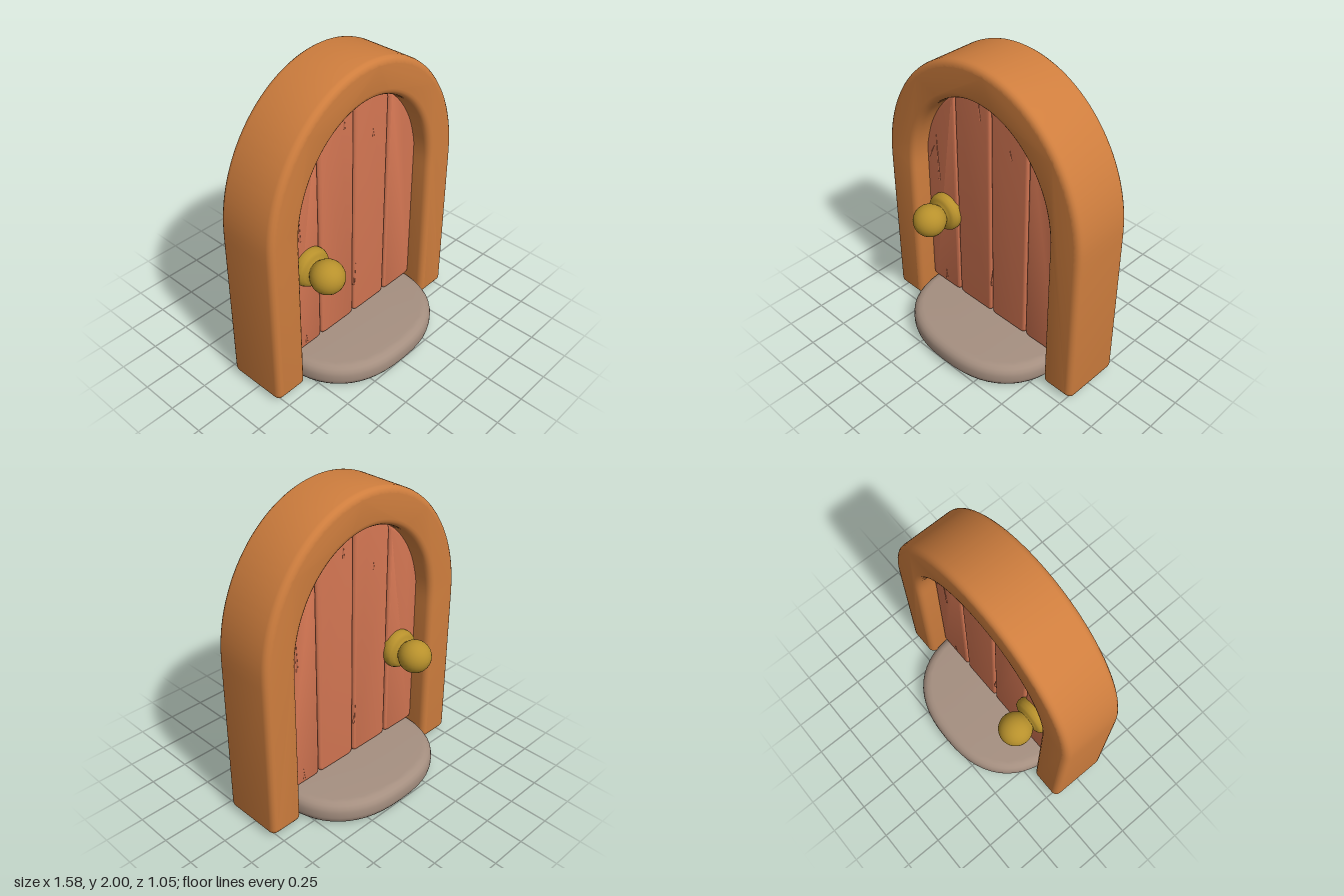
import * as THREE from 'three';
import { toCreasedNormals } from 'three/addons/utils/BufferGeometryUtils.js';

const material = (name, color) => new THREE.MeshStandardMaterial({ name, color });

// Closed shape through points, with every corner softened by up to r
function roundedShape(points, r) {
  const shape = new THREE.Shape();
  const n = points.length;
  points.forEach((p, i) => {
    const towards = (q) => p.clone().lerp(q, Math.min(r / p.distanceTo(q), 0.45));
    const a = towards(points[(i + n - 1) % n]);
    const b = towards(points[(i + 1) % n]);
    if (i === 0) shape.moveTo(a.x, a.y);
    else shape.lineTo(a.x, a.y);
    shape.quadraticCurveTo(p.x, p.y, b.x, b.y);
  });
  shape.closePath();
  return shape;
}

// Soft-edged slab centred on z = 0
function slab(shape, depth, bevel, curveSegments = 3) {
  const geometry = new THREE.ExtrudeGeometry(shape, {
    depth: depth - 2 * bevel, curveSegments, bevelEnabled: true,
    bevelThickness: bevel, bevelSize: bevel, bevelOffset: -bevel, bevelSegments: 4,
  });
  geometry.translate(0, 0, bevel - depth / 2);
  return toCreasedNormals(geometry, 0.7);
}

const SPRING = 1.1; // height where the arch starts to curve

function archPoints(rx, ry, count) {
  return Array.from({ length: count + 1 }, (_, i) => {
    const t = Math.PI * (1 - i / count);
    return new THREE.Vector2(rx * Math.cos(t), SPRING + ry * Math.sin(t));
  });
}

export function createModel() {
  const model = new THREE.Group();
  model.name = 'archedDoor';
  const frameWood = material('frameWood', 0xcf7e3e);
  const plankWood = material('plankWood', 0xd27552);
  const stone = material('stone', 0xa58f80);
  const brass = material('brass', 0xb8912c);

  const add = (name, geometry, mat, parent = model) => {
    const mesh = new THREE.Mesh(geometry, mat);
    mesh.name = name;
    parent.add(mesh);
    return mesh;
  };

  // Arched frame
  const v = (x, y) => new THREE.Vector2(x, y);
  const outline = [
    v(-0.79, 0.02), ...archPoints(0.79, 0.9, 32), v(0.79, 0.02),
    v(0.562, 0.02), ...archPoints(0.562, 0.67, 32).reverse(), v(-0.562, 0.02),
  ];
  add('frame', slab(roundedShape(outline, 0.04), 0.41, 0.04), frameWood);

  // Four planks whose tops follow the arch
  const door = new THREE.Group();
  door.name = 'door';
  model.add(door);
  const seams = [-0.568, -0.297, 0, 0.297, 0.568];
  for (let i = 0; i < 4; i++) {
    const x0 = seams[i] + 0.003, x1 = seams[i + 1] - 0.003;
    const points = [v(x1, 0.158), v(x0, 0.158)];
    for (let k = 0; k <= 7; k++) {
      const x = x0 + (x1 - x0) * k / 7;
      points.push(v(x, SPRING + 0.668 * Math.sqrt(1 - (x / 0.575) ** 2)));
    }
    add('plank', slab(roundedShape(points, 0.035), 0.17, 0.018), plankWood, door);
  }

  // Fine splinters along the grain: x, y, length, tilt
  const splinters = [
    [-0.465, 1.22, 0.45, 0.03], [-0.51, 1.2, 0.15, -0.5], [0.015, 0.51, 0.24, -0.1],
    [-0.09, 1.67, 0.17, 0.05], [0.16, 1.47, 0.08, 0.1], [-0.43, 0.24, 0.1, 0.05],
  ];
  for (const turn of [0, Math.PI]) {
    const grain = new THREE.Group();
    grain.name = 'woodGrain';
    grain.rotation.y = turn;
    door.add(grain);
    for (const [x, y, length, tilt] of splinters) {
      const splinter = add('splinter', new THREE.ConeGeometry(0.01, length, 4), plankWood, grain);
      splinter.position.set(x, y, 0.084);
      splinter.rotation.z = tilt;
      splinter.scale.z = 0.5;
    }
  }

  // Stone doorstep: a rounded superellipse slab
  const step = new THREE.Shape(Array.from({ length: 56 }, (_, i) => {
    const t = i / 56 * Math.PI * 2;
    const power = (c) => Math.sign(c) * Math.abs(c) ** (2 / 2.4);
    return v(0.565 * power(Math.cos(t)), 0.527 * power(Math.sin(t)));
  }));
  const doorstep = add('doorstep', slab(step, 0.157, 0.06), stone);
  doorstep.rotation.x = -Math.PI / 2;
  doorstep.position.y = 0.0785;

  // Round knob with its base plate, on both faces
  const profile = [
    v(0.118, 0.07), v(0.126, 0.09), v(0.126, 0.115), v(0.116, 0.137), v(0.095, 0.147), v(0.068, 0.152),
  ];
  for (let i = 0; i <= 12; i++) {
    const t = -0.85 + (Math.PI / 2 + 0.85) * i / 12;
    profile.push(v(Math.max(0, 0.107 * Math.cos(t)), 0.24 + 0.107 * Math.sin(t)));
  }
  for (const side of [1, -1]) {
    const knob = add(side > 0 ? 'frontKnob' : 'backKnob', new THREE.LatheGeometry(profile, 28), brass);
    knob.rotation.x = side * Math.PI / 2;
    knob.position.set(-0.393, 0.79, 0);
  }

  return model;
}
